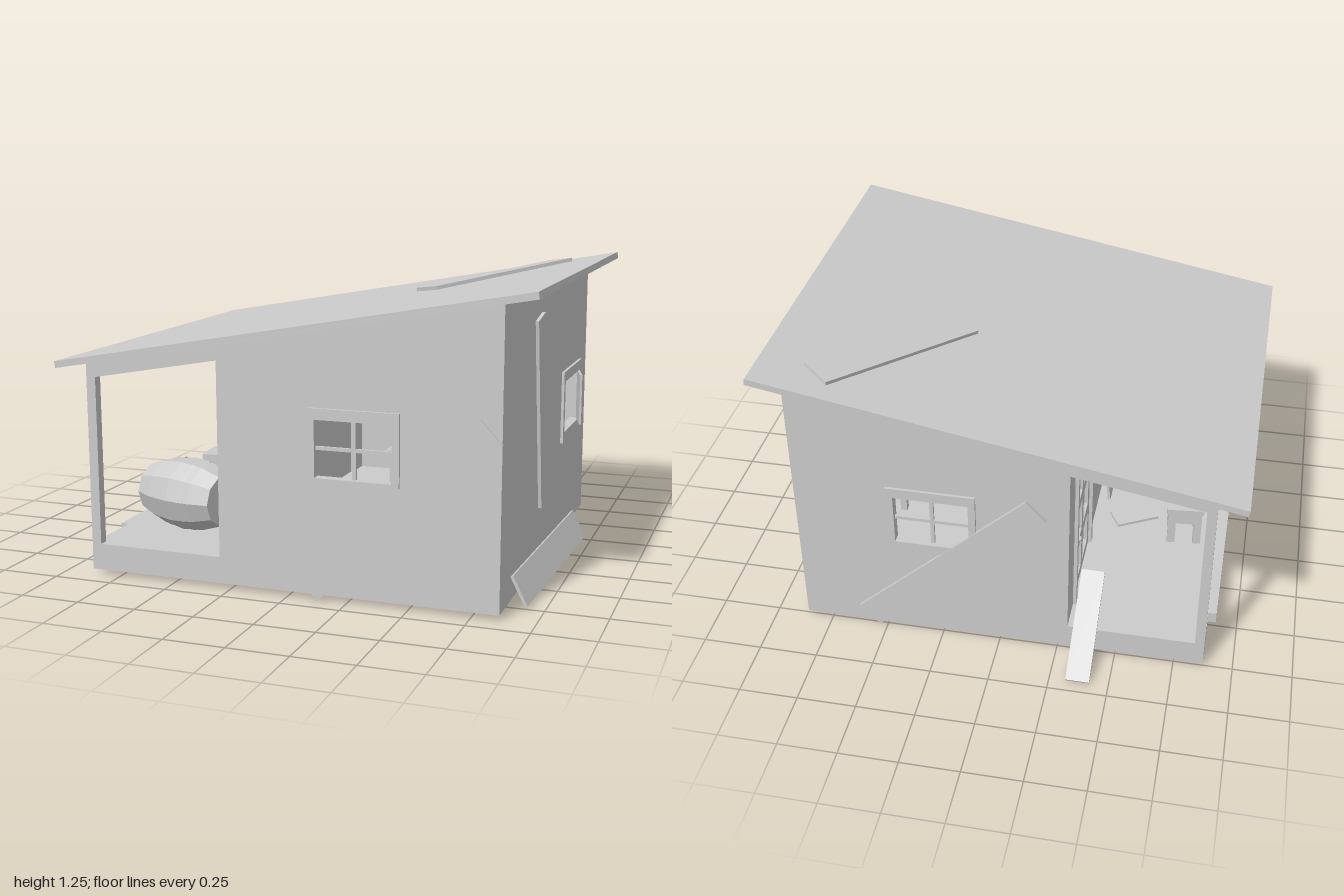
import * as THREE from 'three';

const mat = new THREE.MeshStandardMaterial({ color: 0xcccccc, flatShading: true, side: THREE.DoubleSide });
const SLOPE = 0.18;
const TILT = Math.atan(SLOPE);
const under = x => 0.877 + SLOPE * (x + 1); // underside of the roof

function add(parent, name, geo, pos = [0, 0, 0], rot = [0, 0, 0]) {
  const m = new THREE.Mesh(geo, mat);
  m.name = name;
  m.position.set(...pos);
  m.rotation.set(...rot);
  parent.add(m);
  return m;
}
const box = (parent, name, size, pos, rot) => add(parent, name, new THREE.BoxGeometry(...size), pos, rot);

function group(parent, name, pos = [0, 0, 0], ry = 0) {
  const g = new THREE.Group();
  g.name = name;
  g.position.set(...pos);
  g.rotation.y = ry;
  parent.add(g);
  return g;
}

// Flat panel from corner points with rectangular holes [u0, u1, v0, v1]
function panel(points, holes, depth) {
  const s = new THREE.Shape(points.map(p => new THREE.Vector2(...p)));
  for (const [a, b, c, d] of holes) {
    s.holes.push(new THREE.Path([[a, c], [a, d], [b, d], [b, c]].map(p => new THREE.Vector2(...p))));
  }
  return new THREE.ExtrudeGeometry(s, { depth, bevelEnabled: false });
}
const rect = (a, b, c, d) => [[a, c], [b, c], [b, d], [a, d]];

// Frame standing proud of a wall; local z = 0 is the wall's outer face
function windowFrame(parent, hw) {
  add(parent, 'windowFrame', panel(rect(-hw - 0.03, hw + 0.03, -0.16, 0.16), [[-hw, hw, -0.115, 0.115]], 0.04), [0, 0, -0.028]);
}

function crossWindow(parent, name, pos, ry) {
  const w = group(parent, name, pos, ry);
  windowFrame(w, 0.157);
  box(w, 'verticalBar', [0.016, 0.23, 0.012], [0, 0, -0.012]);
  box(w, 'horizontalBar', [0.314, 0.014, 0.012], [0, 0, -0.012]);
}

function shutterWindow(parent, name, pos, ry, inward, outward) {
  const w = group(parent, name, pos, ry);
  windowFrame(w, 0.17);
  const left = group(w, 'leftShutter', [-0.17, 0, -0.008], inward);
  box(left, 'shutterBoard', [0.166, 0.228, 0.01], [0.083, 0, 0]);
  const right = group(w, 'rightShutter', [0.17, 0, 0.004], outward);
  box(right, 'shutterBoard', [0.16, 0.228, 0.01], [-0.08, 0, 0]);
}

function buildWalls(g) {
  const L = -0.295, R = 0.86, F = 0.91, B = -0.76, T = 0.03;
  const side = [[L, 0.03], [R, 0.03], [R, under(R)], [L, under(L)]];
  const hole = [0.12, 0.434, 0.505, 0.735];
  add(g, 'frontWall', panel(side, [hole], T), [0, 0, F - T]);
  add(g, 'backWall', panel(side, [hole], T), [0, 0, B]);
  // End walls: local u runs along -z
  const turn = [0, Math.PI / 2, 0];
  add(g, 'tallWall', panel(rect(-F, -B, 0.03, under(R)), [[0.22, 0.56, 0.505, 0.735]], T), [R - T, 0, 0], turn);
  add(g, 'porchWall', panel(rect(-F, -B, 0.03, under(L)), [[-0.72, -0.38, 0.505, 0.735], [0.2, 0.59, 0.14, 0.83]], T), [L, 0, 0], turn);
  crossWindow(g, 'frontWindow', [0.277, 0.62, F], 0);
  crossWindow(g, 'backWindow', [0.277, 0.62, B], Math.PI);
  shutterWindow(g, 'tallWallWindow', [R, 0.62, -0.39], Math.PI / 2, 0.12, 0.27);
  shutterWindow(g, 'porchWindow', [L, 0.62, 0.55], -Math.PI / 2, 0.1, 0.38);
}

function buildDoor(g) {
  const d = group(g, 'door', [-0.295, 0.14, -0.395], -Math.PI / 2);
  add(d, 'doorFrame', panel([[-0.225, 0], [-0.195, 0], [-0.195, 0.69], [0.195, 0.69], [0.195, 0], [0.225, 0], [0.225, 0.72], [-0.225, 0.72]], [], 0.04), [0, 0, -0.025]);
  const holes = [];
  for (const u of [-0.15, 0.02]) {
    for (const v of [0.05, 0.26, 0.47]) holes.push([u, u + 0.13, v, v + 0.16]);
  }
  add(d, 'doorRails', panel(rect(-0.192, 0.192, 0.005, 0.688), holes, 0.02), [0, 0, -0.02]);
  box(d, 'doorBack', [0.38, 0.68, 0.008], [0, 0.345, -0.02]);
  add(d, 'doorKnob', new THREE.SphereGeometry(0.014, 8, 6), [-0.165, 0.32, 0.012]);
}

function buildPorch(g) {
  // Slab over three joists on the porch side
  box(g, 'houseFloor', [1.155, 0.11, 1.67], [0.2825, 0.085, 0.075]);
  box(g, 'porchFloor', [0.58, 0.05, 1.67], [-0.585, 0.115, 0.075]);
  box(g, 'floorLip', [0.04, 0.05, 1.17], [-0.89, 0.115, 0.02]);
  for (const [a, b] of [[-0.76, -0.57], [-0.23, 0.1], [0.58, 0.91]]) {
    box(g, 'floorJoist', [0.58, 0.06, b - a], [-0.585, 0.06, (a + b) / 2]);
  }
  // Posts and sloping beams
  const x0 = -0.875, x1 = -0.29, h = 0.063;
  const beam = [[x0, under(x0) - h], [x1, under(x1) - h], [x1, under(x1)], [x0, under(x0)]];
  for (const z of [-0.76, 0.87]) {
    add(g, 'porchPost', panel([[x0, 0.13], [-0.835, 0.13], [-0.835, under(-0.835)], [x0, under(x0)]], [], 0.04), [0, 0, z]);
    add(g, 'porchBeam', panel(beam, [], 0.04), [0, 0, z]);
  }
  add(g, 'porchRafter', panel(beam, [], 0.04), [0, 0, 0.055]);
  box(g, 'porchHeader', [0.04, h, 1.6], [-0.855, under(-0.855) - h / 2, 0.075]);
}

function buildBarrel(g) {
  const b = group(g, 'barrel', [-0.585, 0.297, 0.58], -0.3);
  const prof = [[-0.2, 0.112], [-0.11, 0.142], [0, 0.155], [0.11, 0.142], [0.2, 0.112]];
  // Rims close into recessed lids
  const pts = [[0, -0.185], [0.097, -0.185], [0.1, -0.2], ...prof.map(([y, r]) => [r, y]), [0.1, 0.2], [0.097, 0.185], [0, 0.185]];
  const lay = [0, 0, Math.PI / 2];
  add(b, 'barrelStaves', new THREE.LatheGeometry(pts.map(p => new THREE.Vector2(...p)), 10), [0, 0, 0], lay);
  // Hoops
  for (const s of [-1, 1]) {
    for (const [y, rl, rr] of [[0.165, 0.127, 0.12], [0.07, 0.151, 0.147]]) {
      add(b, 'barrelHoop', new THREE.CylinderGeometry(s > 0 ? rr : rl, s > 0 ? rl : rr, 0.022, 10, 1, true), [-s * y, 0, 0], lay);
    }
  }
}

function buildStool(g) {
  const s = group(g, 'stool', [-0.715, 0.14, -0.05], 0.1);
  box(s, 'stoolSeat', [0.165, 0.025, 0.165], [0, 0.18, 0]);
  box(s, 'stoolApron', [0.15, 0.06, 0.15], [0, 0.14, 0]);
  for (const x of [-1, 1]) {
    for (const z of [-1, 1]) box(s, 'stoolLeg', [0.035, 0.13, 0.035], [x * 0.058, 0.065, z * 0.058]);
  }
}

function buildTable(g) {
  const t = group(g, 'table', [0.42, 0.14, 0.1]);
  box(t, 'tableTop', [0.4, 0.025, 0.5], [0, 0.345, 0]);
  for (const x of [-1, 1]) {
    for (const z of [-1, 1]) box(t, 'tableLeg', [0.03, 0.34, 0.03], [x * 0.17, 0.17, z * 0.22]);
  }
  const prof = [[0, 0], [0.02, 0], [0.02, 0.05], [0.008, 0.07], [0.008, 0.095], [0, 0.095]];
  add(t, 'bottle', new THREE.LatheGeometry(prof.map(p => new THREE.Vector2(...p)), 8), [-0.085, 0.357, 0]);
  add(t, 'cup', new THREE.CylinderGeometry(0.018, 0.015, 0.03, 8), [-0.05, 0.372, 0.06]);
}

function buildPlanks(g) {
  box(g, 'frontPlank', [1.0, 0.125, 0.015], [0.455, 0.395, 0.922], [0, 0, 0.747]);
  box(g, 'backPlank', [1.0, 0.125, 0.015], [0.205, 0.41, -0.768], [0, 0, -0.747]);
  box(g, 'tallWallPlank', [0.014, 0.815, 0.13], [0.867, 0.69, 0.255], [0.168, 0, 0]);
  // Fallen board leaning on the foot of the tall wall
  const f = group(g, 'fallenPlank', [0.92, 0.081, 0.255], -0.04);
  box(f, 'board', [0.012, 0.13, 1.01], [0, 0, 0], [0, 0, 0.47]);
  // Ramp board over the porch edge
  box(g, 'rampPlank', [0.1, 0.012, 0.48], [-0.37, 0.15, -0.75], [-0.58, 0, 0]);
  box(g, 'leaningPlank', [0.012, 0.42, 0.1], [-0.325, 0.35, 0.17], [0, 0, -0.1]);
  box(g, 'loosePlank', [0.2, 0.012, 0.1], [-0.48, 0.148, 0.02], [0, 0.5, 0]);
}

function buildRoof(g) {
  const r = group(g, 'roof', [0, under(0), 0.075]);
  r.rotation.z = TILT;
  box(r, 'roofSlab', [2.02, 0.028, 1.75], [0, 0.014, 0]);
  box(r, 'roofPlank', [0.785, 0.016, 0.152], [0.53, 0.036, -0.425], [0, 0.915, 0]);
}

export function createModel() {
  const g = new THREE.Group();
  g.name = 'shack';
  for (const build of [buildWalls, buildDoor, buildPorch, buildBarrel, buildStool, buildTable, buildPlanks, buildRoof]) build(g);
  return g;
}
